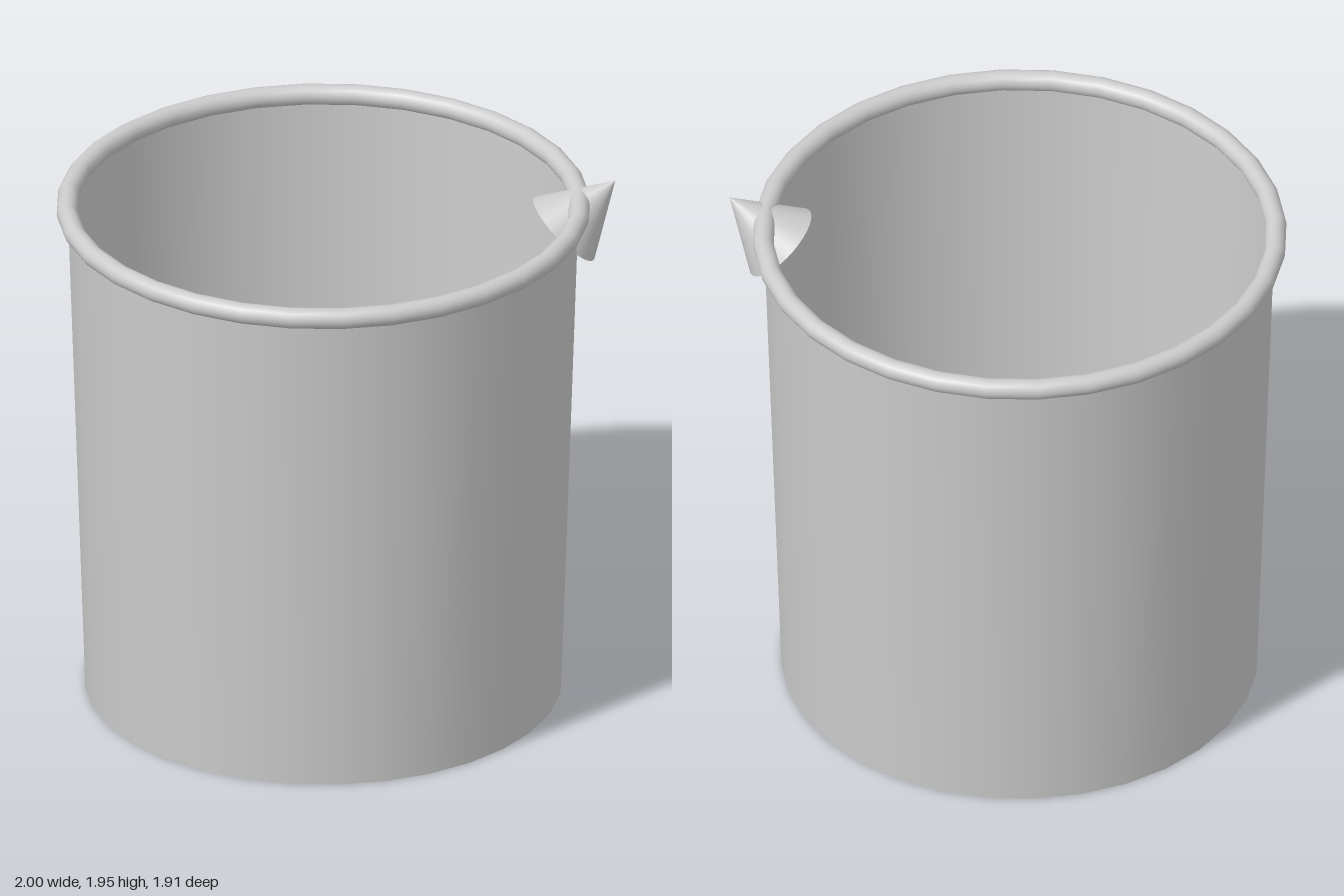
import * as THREE from 'three';

const SIDES = 32;
const RIM_Y = 1.883;

export function createModel() {
  const model = new THREE.Group();
  model.name = 'beaker';
  const material = new THREE.MeshStandardMaterial({ color: 0xcccccc, side: THREE.DoubleSide });

  const addPart = (name, geometry, parent) => {
    const mesh = new THREE.Mesh(geometry, material);
    mesh.name = name;
    parent.add(mesh);
    return mesh;
  };

  // Vessel sits slightly off centre to make room for the spout
  const vessel = new THREE.Group();
  vessel.name = 'vessel';
  vessel.position.x = -0.045;
  model.add(vessel);

  // Thin tapered wall, open at the top
  const wall = addPart('wall', new THREE.CylinderGeometry(0.915, 0.853, RIM_Y, SIDES, 1, true), vessel);
  wall.position.y = RIM_Y / 2;

  // Floor disc
  const floor = addPart('floor', new THREE.CircleGeometry(0.853, SIDES), vessel);
  floor.rotation.x = Math.PI / 2;

  // Rolled rim
  const rim = addPart('rim', new THREE.TorusGeometry(0.918, 0.0375, 16, SIDES), vessel);
  rim.rotation.x = Math.PI / 2;
  rim.position.y = RIM_Y;

  // Pouring spout: a cone tilted 45 degrees outward through the rim
  const height = 0.26;
  const spout = addPart('spout', new THREE.ConeGeometry(0.155, height, SIDES), model);
  const reach = (height / 2) * Math.SQRT1_2;
  spout.rotation.z = -Math.PI / 4;
  spout.position.set(1 - reach, 1.95 - reach, 0);

  return model;
}
